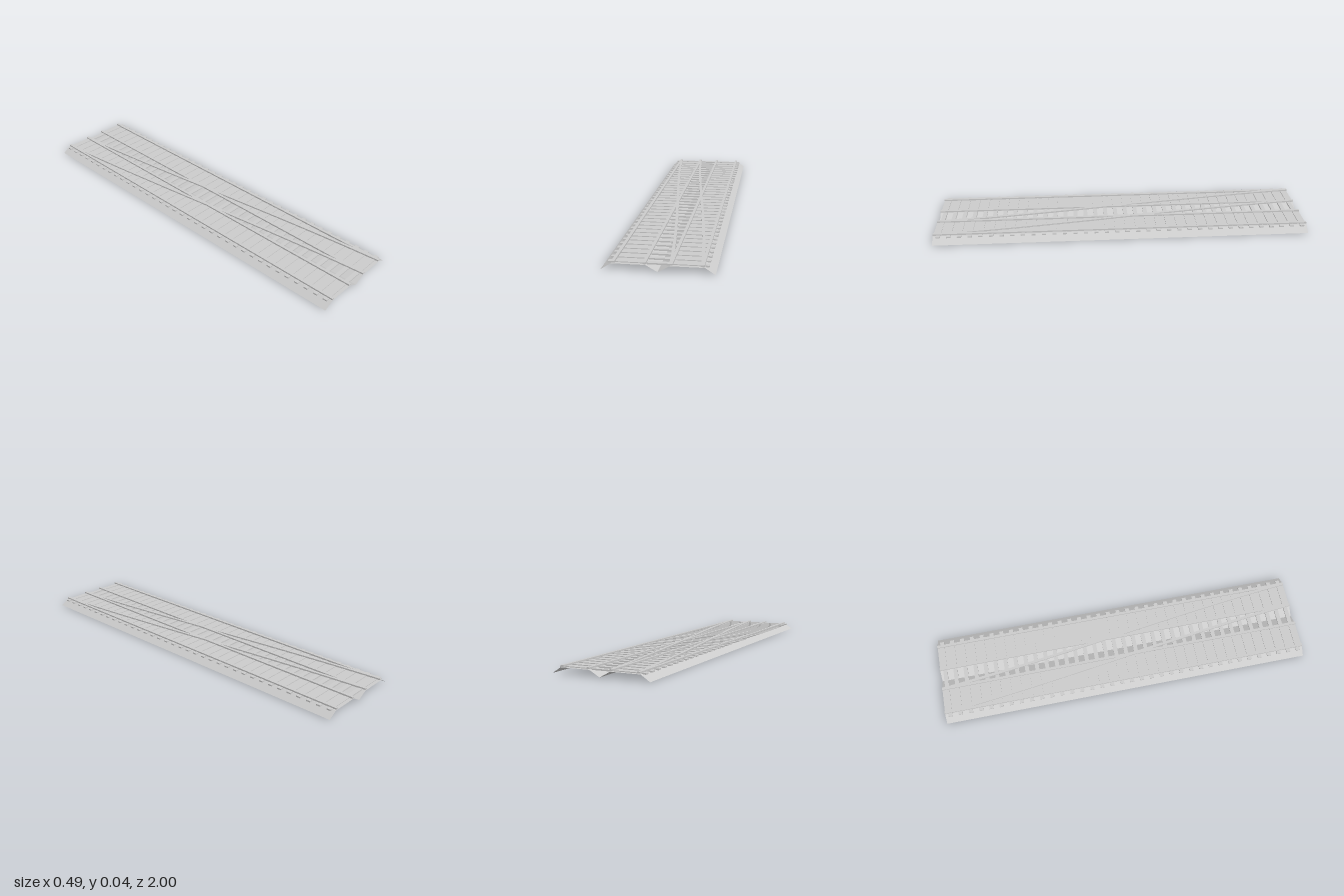
import * as THREE from 'three';

const LENGTH = 2;
const TIES = 36;
const RAIL_X = [0.057, 0.191];      // inner and outer rail of each track
const TRACK_X = 0.124;              // track centre line
const HALF_GAUGE = 0.067;

// Loft a cross-section of [x, y] points along z; path(z) gives the sideways offset
function loft(profile, path, steps, closed) {
  const pos = [], idx = [];
  const sides = closed ? profile.length : profile.length - 1;
  const at = (p, z) => [p[0] + path(z), p[1], z];
  for (let s = 0; s < steps; s++) {
    const z0 = -LENGTH / 2 + (LENGTH * s) / steps;
    const z1 = -LENGTH / 2 + (LENGTH * (s + 1)) / steps;
    for (let i = 0; i < sides; i++) {
      const a = profile[i], b = profile[(i + 1) % profile.length];
      const n = pos.length / 3;
      pos.push(...at(a, z0), ...at(b, z0), ...at(b, z1), ...at(a, z1));
      idx.push(n, n + 2, n + 1, n, n + 3, n + 2);
    }
  }
  // End caps for closed sections
  if (closed) {
    for (const z of [-LENGTH / 2, LENGTH / 2]) {
      const n = pos.length / 3;
      profile.forEach((p) => pos.push(...at(p, z)));
      for (let i = 1; i < profile.length - 1; i++) {
        if (z > 0) idx.push(n, n + i + 1, n + i);
        else idx.push(n, n + i, n + i + 1);
      }
    }
  }
  const g = new THREE.BufferGeometry();
  g.setAttribute('position', new THREE.Float32BufferAttribute(pos, 3));
  g.setIndex(idx);
  g.computeVertexNormals();
  return g;
}

export function createModel() {
  const model = new THREE.Group();
  const grey = new THREE.MeshStandardMaterial({ color: 0xcccccc, flatShading: true });
  const sheet = new THREE.MeshStandardMaterial({
    color: 0xcccccc, flatShading: true, side: THREE.DoubleSide,
  });
  const add = (geometry, material, name, parent = model) => {
    const mesh = new THREE.Mesh(geometry, material);
    mesh.name = name;
    parent.add(mesh);
    return mesh;
  };

  // Ballast bed: open sheet with two plateaus and a valley between the tracks
  const bed = [
    [-0.245, 0], [-0.2, 0.029], [-0.052, 0.029], [0, 0],
    [0.052, 0.029], [0.2, 0.029], [0.245, 0],
  ];
  add(loft(bed, () => 0, 1, false), sheet, 'ballastBed');

  // Sleepers running under both tracks
  const sleepers = new THREE.Group();
  sleepers.name = 'sleepers';
  model.add(sleepers);
  const pitch = LENGTH / TIES;
  const tie = new THREE.BoxGeometry(0.434, 0.007, 0.022);
  for (let i = 0; i < TIES; i++) {
    add(tie, grey, 'sleeper', sleepers)
      .position.set(0, 0.0295, -LENGTH / 2 + (i + 0.5) * pitch);
  }

  // Rail section, clockwise from the lower left
  const railSection = [[-0.007, 0.032], [-0.007, 0.04], [0.007, 0.04], [0.007, 0.032]];

  // Straight rails of the two parallel tracks
  const straight = loft(railSection, () => 0, 1, true);
  for (const side of [-1, 1]) {
    for (const x of RAIL_X) add(straight, grey, 'straightRail').position.x = side * x;
  }

  // Crossover rails sweep from the right track at the back to the left one in front
  const bend = 0.0175;
  const crossover = (z) => (TRACK_X + bend) * z - bend * z ** 3;
  const curved = loft(railSection, crossover, 32, true);
  for (const side of [-1, 1]) {
    add(curved, grey, 'crossoverRail').position.x = side * HALF_GAUGE;
  }
  return model;
}
